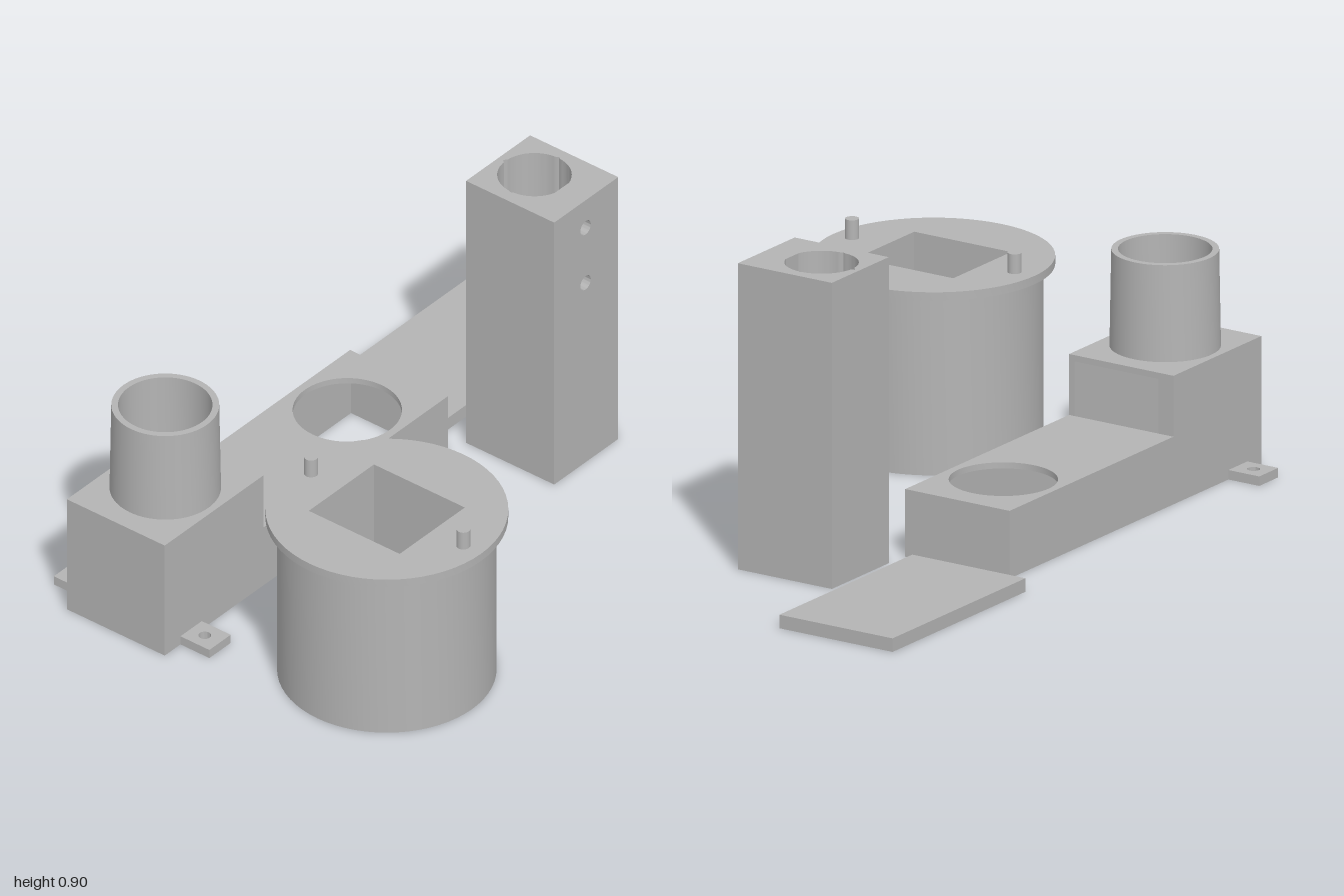
import * as THREE from 'three';
import { toCreasedNormals } from 'three/addons/utils/BufferGeometryUtils.js';

export function createModel() {
  const model = new THREE.Group();
  model.name = 'printedParts';
  const grey = new THREE.MeshStandardMaterial({ color: 0xb4b4b4 });
  grey.name = 'plain grey';

  const add = (name, geo, parent = model) => {
    const mesh = new THREE.Mesh(geo, grey);
    mesh.name = name;
    parent.add(mesh);
    return mesh;
  };
  const group = (name) => {
    const g = new THREE.Group();
    g.name = name;
    model.add(g);
    return g;
  };
  const box = (x0, x1, y0, y1, z0, z1) =>
    new THREE.BoxGeometry(x1 - x0, y1 - y0, z1 - z0)
      .translate((x0 + x1) / 2, (y0 + y1) / 2, (z0 + z1) / 2);
  const polygon = (pts) => new THREE.Shape(pts.map(([a, b]) => new THREE.Vector2(a, b)));
  const rect = (a0, a1, b0, b1) => polygon([[a0, b0], [a1, b0], [a1, b1], [a0, b1]]);
  const disc = (x, y, r) => new THREE.Shape().absarc(x, y, r, 0, Math.PI * 2, false);
  const cut = (shape, ...holes) => {
    shape.holes.push(...holes);
    return shape;
  };
  const extrude = (shape, depth) => toCreasedNormals(
    new THREE.ExtrudeGeometry(shape, { depth, bevelEnabled: false, curveSegments: 32 }), 0.5);
  // Shape drawn in (x, z), raised from y0 to y1
  const slab = (shape, y0, y1) =>
    extrude(shape, y1 - y0).rotateX(Math.PI / 2).translate(0, y1, 0);
  // Shape drawn in (-z, y), extended from x0 to x1
  const wall = (shape, x0, x1) =>
    extrude(shape, x1 - x0).rotateY(Math.PI / 2).translate(x0, 0, 0);

  // Loose flat cover
  add('coverPlate', box(-0.665, -0.28, 0, 0.04, -1, -0.335));

  // Tower: bored block with grooves, closed by a cheek with two screw holes
  const tower = group('tower');
  const cx = -0.07, cz = -0.48, r = 0.105, faceX = 0.03;
  const open = Math.acos((faceX - cx) / r);
  const outline = [[faceX, -0.335], [-0.2, -0.335], [-0.2, -0.62], [faceX, -0.62]];
  const steps = 72;
  for (let i = 0; i <= steps; i++) {
    const a = -open - (i / steps) * (2 * Math.PI - 2 * open);
    let radius = r;
    if (Math.abs(a + Math.PI) < 0.04) radius = 0.114;
    else if (Math.min(Math.abs(a + Math.PI / 2), Math.abs(a + 1.5 * Math.PI)) < 0.04) radius = 0.109;
    outline.push([cx + radius * Math.cos(a), cz + radius * Math.sin(a)]);
  }
  add('towerBlock', slab(polygon(outline), 0, 0.905), tower);
  add('towerCheek', wall(cut(rect(0.335, 0.62, 0, 0.905),
    disc(0.475, 0.81, 0.023), disc(0.475, 0.62, 0.023)), faceX, 0.12), tower);

  // Duct housing: hollow, open underneath and through the step
  const housing = group('ductHousing');
  const xl = -0.56, xr = -0.205, mid = (xl + xr) / 2, t = 0.018;
  for (const [side, x] of [['right', xl], ['left', xr - t]]) {
    add(side + 'Wall', wall(polygon([[-1, 0], [0.26, 0], [0.26, 0.2],
      [-0.56, 0.2], [-0.56, 0.38], [-1, 0.38]]), x, x + t), housing);
  }
  add('frontWall', box(xl + t, xr - t, 0, 0.38, 1 - t, 1), housing);
  add('backWall', box(xl + t, xr - t, 0, 0.2, -0.26, -0.26 + t), housing);
  add('lowRoof', slab(cut(rect(xl + t, xr - t, -0.26 + t, 0.56),
    disc(mid, -0.03, 0.154)), 0.2 - t, 0.2), housing);
  add('highRoof', slab(cut(rect(xl + t, xr - t, 0.56, 1 - t),
    disc(mid, 0.78, 0.133)), 0.38 - t, 0.38), housing);

  // Slightly tapered outlet pipe
  const pipeProfile = [[0.157, 0.38], [0.152, 0.665], [0.133, 0.665], [0.133, 0.38]]
    .map(([x, y]) => new THREE.Vector2(x, y));
  add('outletPipe', toCreasedNormals(new THREE.LatheGeometry(pipeProfile, 64), 0.5)
    .translate(mid, 0, 0.78), housing);

  // Mounting tabs
  for (const [side, x0, x1, hx] of [['right', -0.665, xl, -0.613], ['left', xr, -0.1, -0.155]]) {
    add(side + 'Tab', slab(cut(rect(x0, x1, 0.835, 0.93),
      disc(hx, 0.883, 0.018)), 0, 0.028), housing);
  }

  // Round drum with a square shaft, flange and two pins
  const drum = group('drum');
  const dx = 0.32, dz = 0.655;
  const shaft = () => rect(0.155, 0.485, 0.51, 0.8);
  add('drumBody', slab(cut(disc(dx, dz, 0.309), shaft()), 0, 0.527), drum);
  add('drumFlange', slab(cut(disc(dx, dz, 0.342), shaft()), 0.527, 0.552), drum);
  for (const [side, x] of [['right', 0.045], ['left', 0.598]]) {
    add(side + 'Pin', new THREE.CylinderGeometry(0.02, 0.02, 0.058, 32)
      .translate(x, 0.581, dz), drum);
  }

  return model;
}
